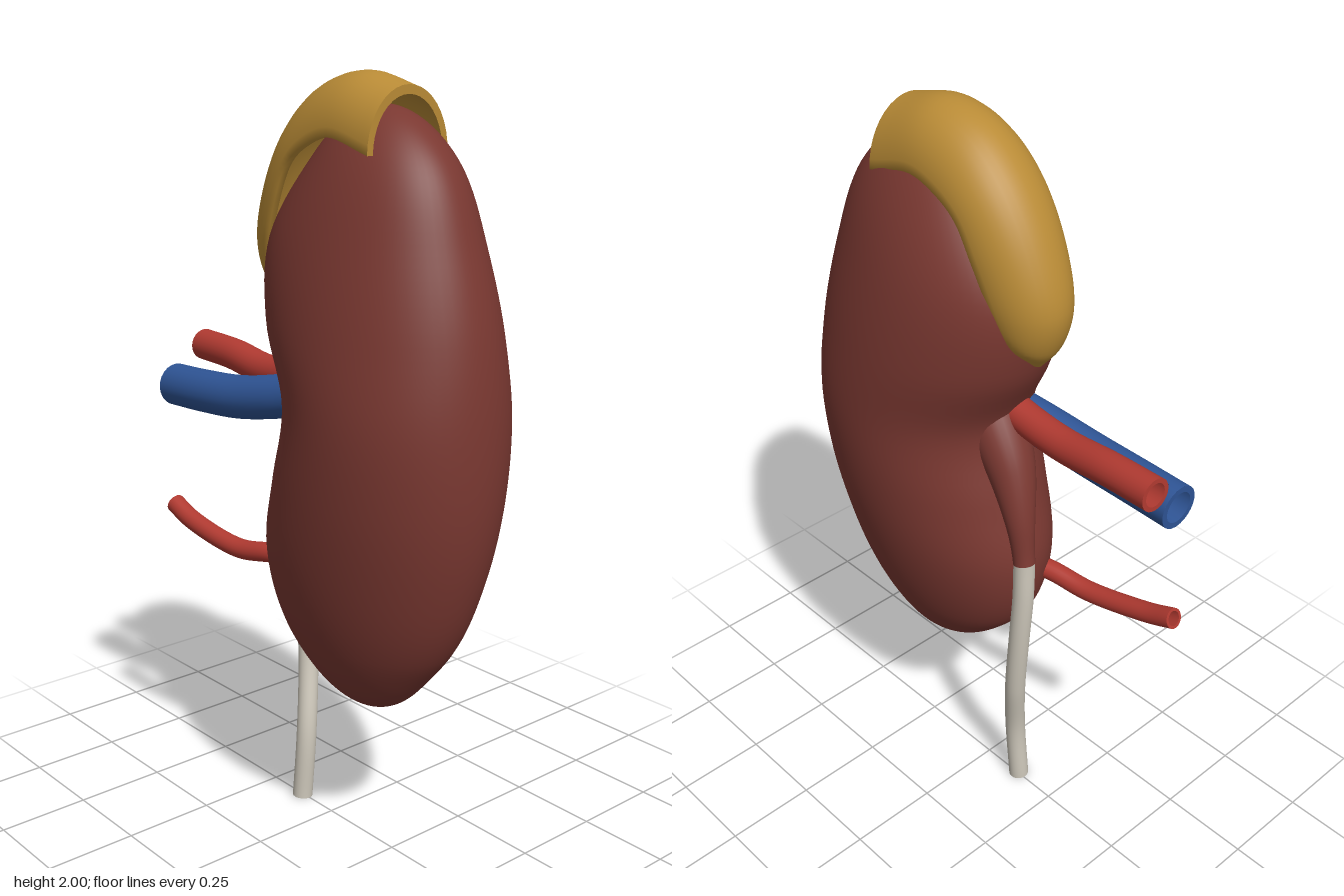
import * as THREE from 'three';
import { mergeVertices } from 'three/addons/utils/BufferGeometryUtils.js';

const V = (x, y, z) => new THREE.Vector3(x, y, z);

function material(name, color, side = THREE.FrontSide) {
  const m = new THREE.MeshStandardMaterial({ color, side });
  m.name = name;
  return m;
}

// Skin a list of closed rings that all have the same number of points
function loft(rings) {
  const n = rings[0].length, pos = [], index = [];
  rings.forEach(r => r.forEach(p => pos.push(p.x, p.y, p.z)));
  for (let i = 0; i < rings.length - 1; i++) {
    for (let j = 0; j < n; j++) {
      const k = (j + 1) % n;
      const a = i * n + j, b = i * n + k, c = a + n, d = b + n;
      index.push(a, c, b, b, c, d);
    }
  }
  const g = new THREE.BufferGeometry();
  g.setAttribute('position', new THREE.Float32BufferAttribute(pos, 3));
  g.setIndex(index);
  return g;
}

// Bean body: elliptical slices whose centre and width follow a curve
function kidneyGeometry() {
  // [centre x, height, width factor]
  const profile = new THREE.CatmullRomCurve3([
    [0.18, 0.405, 0.38], [0.165, 0.5, 0.382], [0.16, 0.6, 0.402], [0.173, 0.8, 0.385],
    [0.214, 1.0, 0.34], [0.239, 1.2, 0.309], [0.185, 1.4, 0.357], [0.153, 1.6, 0.387],
    [0.177, 1.8, 0.377], [0.17, 1.925, 0.37],
  ].map(p => V(...p)));
  const rows = 90, cols = 64, rings = [];
  for (let i = 0; i <= rows; i++) {
    const p = profile.getPoint((1 - Math.cos(Math.PI * i / rows)) / 2);
    const t = THREE.MathUtils.clamp((p.y - 1.165) / 0.76, -1, 1);
    const round = i === 0 || i === rows ? 0 : Math.sqrt(1 - t * t);
    rings.push(Array.from({ length: cols }, (_, j) => {
      const a = j / cols * Math.PI * 2;
      return V(p.x + p.z * round * Math.cos(a), p.y, 0.253 * round * Math.sin(a) - 0.015 * t);
    }));
  }
  const g = mergeVertices(loft(rings), 1e-5);
  g.computeVertexNormals();
  return g;
}

// Arched cap: a thick half-pipe swept from the lower tip to the cut end
function capGeometry() {
  const outer = new THREE.CatmullRomCurve3([
    [-0.18, 1.425], [-0.222, 1.48], [-0.245, 1.58], [-0.2, 1.73],
    [-0.11, 1.875], [0, 1.967], [0.13, 2.0], [0.27, 1.97],
  ].map(p => V(p[0], p[1], 0)));
  // z holds the half width of the cap
  const edge = new THREE.CatmullRomCurve3([
    [-0.165, 1.43, 0.015], [-0.15, 1.49, 0.075], [-0.125, 1.57, 0.105], [-0.075, 1.69, 0.122],
    [-0.02, 1.785, 0.126], [0.05, 1.83, 0.127], [0.13, 1.85, 0.127], [0.27, 1.815, 0.127],
  ].map(p => V(...p)));
  const rows = 48, arc = 20, rings = [];
  for (let i = 0; i <= rows; i++) {
    const o = outer.getPoint(i / rows), e = edge.getPoint(i / rows), ring = [];
    const point = (a, s) => V(
      e.x + (o.x - e.x) * Math.sin(a) * s,
      e.y + (o.y - e.y) * Math.sin(a) * s,
      e.z * Math.cos(a) * s - 0.003);
    for (let j = 0; j <= arc; j++) ring.push(point(Math.PI * j / arc, 1));
    for (let j = arc; j >= 0; j--) ring.push(point(Math.PI * j / arc, 0.86));
    rings.push(ring);
  }
  // Flat rim closing the cut end between the outer and inner skins
  const last = rings[rows], n = last.length;
  rings.push(last.map(p => p.clone()));
  rings.push(last.map((p, j) => (j <= arc ? last[n - 1 - j] : p).clone()));
  const g = loft(rings);
  g.computeVertexNormals();
  return g;
}

export function createModel() {
  const model = new THREE.Group();
  const brown = material('kidney brown', 0x7a3831);
  const ochre = material('gland ochre', 0xb98b36, THREE.DoubleSide);
  const red = material('artery red', 0xb03a31, THREE.DoubleSide);
  const blue = material('vein blue', 0x2f5596, THREE.DoubleSide);
  const cream = material('ureter cream', 0xcdc7ba, THREE.DoubleSide);

  const add = (name, geometry, mat, parent = model) => {
    const mesh = new THREE.Mesh(geometry, mat);
    mesh.name = name;
    parent.add(mesh);
    return mesh;
  };

  // Open vessel with a thin wall ring at its free (first) end
  const vessel = (name, points, radius, mat) => {
    const group = new THREE.Group();
    group.name = name;
    const path = new THREE.CatmullRomCurve3(points.map(p => V(...p)));
    add(name + 'Wall', new THREE.TubeGeometry(path, 48, radius, 24), mat, group);
    const rim = add(name + 'Rim', new THREE.RingGeometry(radius * 0.72, radius, 24), mat, group);
    rim.position.copy(path.getPoint(0));
    rim.quaternion.setFromUnitVectors(V(0, 0, 1), path.getTangent(0).negate());
    model.add(group);
  };

  add('kidneyBody', kidneyGeometry(), brown);
  add('adrenalCap', capGeometry(), ochre);

  // Funnel: a tube whose radius swells towards the kidney
  const funnelPath = new THREE.CatmullRomCurve3([
    V(-0.184, 0.86, -0.05), V(-0.157, 0.98, -0.042), V(-0.1, 1.1, -0.02), V(-0.01, 1.22, 0),
  ]);
  const funnel = new THREE.TubeGeometry(funnelPath, 32, 1, 28);
  const pos = funnel.attributes.position;
  for (let i = 0; i < pos.count; i++) {
    const u = Math.floor(i / 29) / 32;
    const c = funnelPath.getPointAt(u);
    const p = V(0, 0, 0).fromBufferAttribute(pos, i).sub(c);
    p.multiplyScalar(0.029 + 0.05 * THREE.MathUtils.smoothstep(u, 0, 1)).add(c);
    pos.setXYZ(i, p.x, p.y, p.z);
  }
  funnel.computeVertexNormals();
  add('renalPelvis', funnel, brown);

  vessel('ureter', [
    [-0.122, 0, 0.004], [-0.117, 0.2, -0.008], [-0.147, 0.4, -0.04],
    [-0.172, 0.6, -0.052], [-0.184, 0.75, -0.052], [-0.184, 0.865, -0.05],
  ], 0.028, cream);
  vessel('mainArtery', [
    [-0.548, 1.243, 0.005], [-0.4, 1.238, 0.01], [-0.25, 1.222, 0.02],
    [-0.13, 1.228, 0.025], [0, 1.25, 0.03],
  ], 0.043, red);
  vessel('mainVein', [
    [-0.534, 1.145, 0.113], [-0.4, 1.15, 0.112], [-0.25, 1.16, 0.105],
    [-0.12, 1.182, 0.088], [0, 1.21, 0.06],
  ], 0.058, blue);
  vessel('lowerArtery', [
    [-0.543, 0.796, 0.125], [-0.46, 0.765, 0.123], [-0.27, 0.73, 0.105],
    [-0.16, 0.742, 0.085], [-0.08, 0.75, 0.06],
  ], 0.027, red);

  return model;
}
